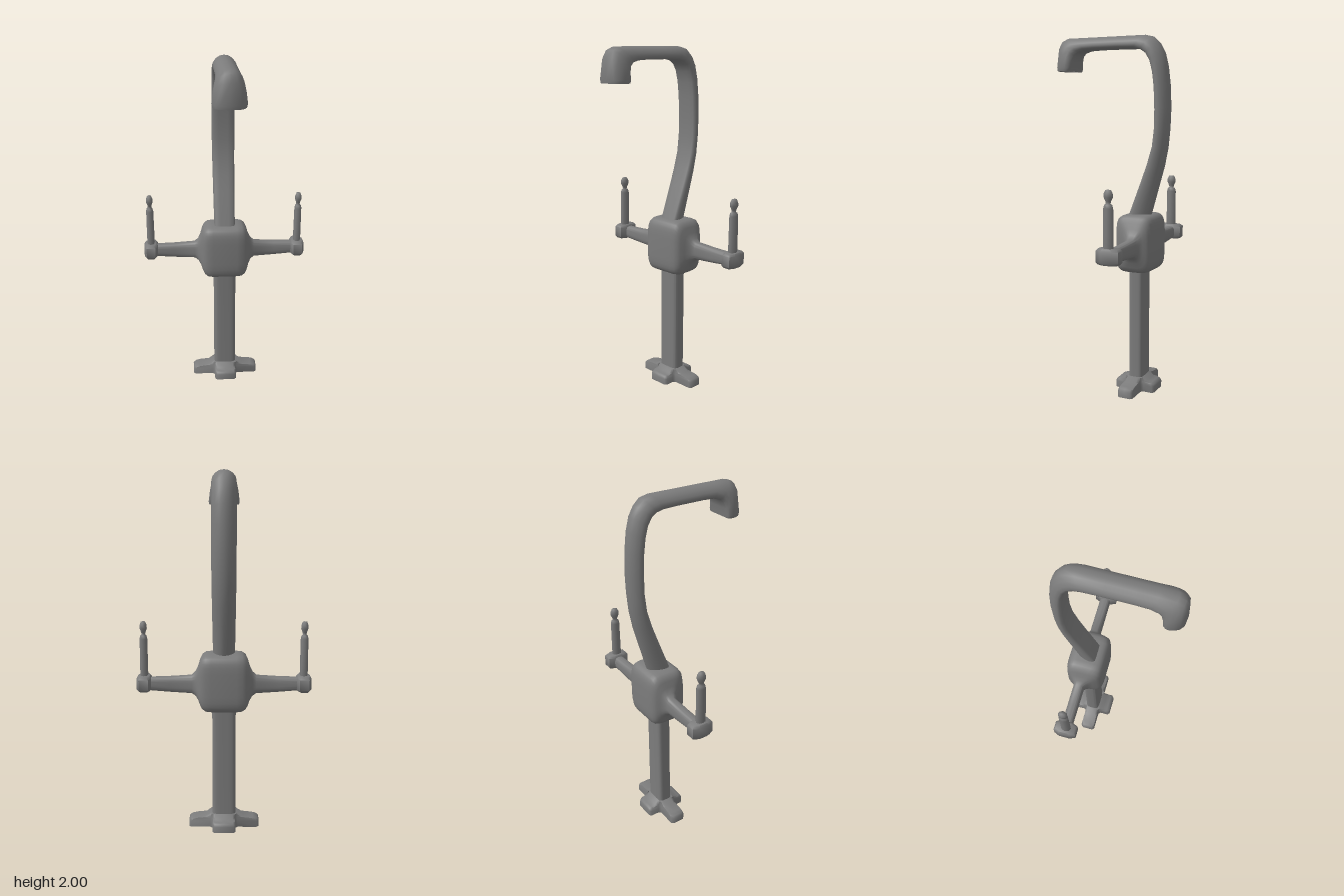
import * as THREE from 'three';
import { mergeVertices, toCreasedNormals } from 'three/addons/utils/BufferGeometryUtils.js';

const metal = new THREE.MeshStandardMaterial({ color: 0x7c7c7c });
const openMetal = new THREE.MeshStandardMaterial({ color: 0x7c7c7c, side: THREE.DoubleSide });

// Skins a list of equal-length rings of [x, y, z]; the winding is fixed by signed volume.
function loft(rings, { capStart = true, crease = 0.9 } = {}) {
  const n = rings[0].length;
  const points = rings.flat();
  const tris = [];
  for (let r = 0; r < rings.length - 1; r++) {
    for (let i = 0; i < n; i++) {
      const a = r * n + i, b = r * n + (i + 1) % n;
      tris.push([a, b, b + n], [a, b + n, a + n]);
    }
  }
  const cap = (r, flip) => {
    const c = points.length;
    points.push([0, 1, 2].map(k => rings[r].reduce((s, p) => s + p[k], 0) / n));
    for (let i = 0; i < n; i++) {
      const a = r * n + i, b = r * n + (i + 1) % n;
      tris.push(flip ? [c, b, a] : [c, a, b]);
    }
  };
  if (capStart) cap(0, true);
  cap(rings.length - 1, false);
  const v = points.map(p => new THREE.Vector3(...p));
  const volume = tris.reduce((s, [a, b, c]) => s + v[a].dot(v[b].clone().cross(v[c])), 0);
  if (volume < 0) tris.forEach(t => t.reverse());
  let geo = new THREE.BufferGeometry().setFromPoints(v);
  geo.setIndex(tris.flat());
  geo = mergeVertices(geo, 1e-5);
  return toCreasedNormals(geo, crease);
}

function add(parent, name, geometry, material = metal) {
  const mesh = new THREE.Mesh(geometry, material);
  mesh.name = name;
  parent.add(mesh);
  return mesh;
}

// D-shaped section: flat on the inner side, domed on the outer side; square flattens the dome.
const half = [[0.4, 0], [0.8, 0.01], [0.95, 0.1], [1, 0.27], [0.92, 0.5], [0.7, 0.76], [0.37, 0.94]];
const dShape = [[0, 0], ...half, [0, 1], ...half.map(([x, s]) => [-x, s]).reverse()];
const dRing = ([zi, yi, zo, yo, w, square = 0]) => dShape.map(([x, s]) =>
  [Math.sign(x) * Math.abs(x) ** (1 - square) * w, yi + (yo - yi) * s, zi + (zo - zi) * s]);

// Rounded-rectangle outline with half sizes a and b.
function softRect(a, b, power) {
  const soft = c => Math.sign(c) * Math.abs(c) ** (2 / power);
  return Array.from({ length: 32 }, (_, i) => {
    const t = (i + 0.5) / 32 * Math.PI * 2;
    return [a * soft(Math.cos(t)), b * soft(Math.sin(t))];
  });
}
const boxRing = ([x, yc, hy, zc, hz, power]) =>
  softRect(hy, hz, power).map(([y, z]) => [x, yc + y, zc + z]);

// Cross-shaped outline for the foot at height y, reaching ex and ez.
function crossRing([y, ex, ez, wx, wz]) {
  const c = 0.012;
  const quarter = [[ex, 0], [ex, wz - c], [ex - c, wz], [wx + c, wz], [wx, wz + c], [wx, ez - c], [wx - c, ez]];
  const mirrored = quarter.slice(1).reverse().map(([x, z]) => [-x, z]);
  const top = [...quarter, [0, ez], ...mirrored, [-ex, 0]];
  const bottom = top.slice(1, -1).reverse().map(([x, z]) => [x, -z]);
  return [...top, ...bottom].map(([x, z]) => [x, y, z - 0.16]);
}

// Octagonal outline of a handle block at height y.
function octagonRing([y, a, b]) {
  const p = a - 0.014, q = b - 0.032;
  return [[a, -q], [a, q], [p, b], [-p, b], [-a, q], [-a, -q], [-p, -b], [p, -b]].map(([x, z]) => [x, y, z]);
}

export function createModel() {
  const model = new THREE.Group();
  model.name = 'tap';

  // Cross-shaped foot, open underneath
  add(model, 'foot', loft([
    [0, 0.2, 0.12, 0.066, 0.045],
    [0.035, 0.2, 0.12, 0.066, 0.045],
    [0.048, 0.19, 0.114, 0.064, 0.043],
    [0.054, 0.165, 0.1, 0.063, 0.042],
    [0.06, 0.11, 0.072, 0.062, 0.041],
    [0.08, 0.077, 0.054, 0.061, 0.04],
  ].map(crossRing), { capStart: false, crease: 1.1 }), openMetal);

  // Lower column
  const columnRing = y => softRect(0.066, 0.043, 4.5).map(([x, z]) => [x, y, z - 0.162]);
  add(model, 'column', loft([0.03, 0.74].map(columnRing)));

  // Valve body flowing into both arms: x, centre y, half height, centre z, half depth, squareness
  const side = [
    [0.07, 0.86, 0.162, -0.168, 0.109, 5],
    [0.1, 0.86, 0.159, -0.168, 0.105, 5],
    [0.12, 0.86, 0.147, -0.169, 0.097, 4.5],
    [0.132, 0.859, 0.125, -0.171, 0.084, 4],
    [0.142, 0.856, 0.095, -0.176, 0.065, 3.5],
    [0.157, 0.852, 0.068, -0.181, 0.043, 3],
    [0.178, 0.85, 0.051, -0.185, 0.031, 3],
    [0.3, 0.85, 0.043, -0.185, 0.031, 3],
    [0.42, 0.853, 0.036, -0.185, 0.031, 3],
  ];
  const mirrorSide = side.map(([x, ...rest]) => [-x, ...rest]).reverse();
  add(model, 'valveBodyAndArms', loft([...mirrorSide, ...side].map(boxRing)));

  // Swan-neck spout: inner z, inner y, outer z, outer y, half width, squareness
  const spout = [
    [-0.1, 0.97, -0.215, 0.97, 0.06],
    [-0.116, 1.02, -0.233, 1.02, 0.061],
    [-0.185, 1.2, -0.279, 1.19, 0.063],
    [-0.222, 1.3, -0.306, 1.29, 0.064],
    [-0.252, 1.4, -0.325, 1.39, 0.065],
    [-0.264, 1.5, -0.335, 1.5, 0.066],
    [-0.265, 1.6, -0.339, 1.61, 0.066],
    [-0.26, 1.72, -0.334, 1.73, 0.066],
    [-0.25, 1.8, -0.322, 1.83, 0.066],
    [-0.234, 1.86, -0.303, 1.905, 0.066],
    [-0.21, 1.9, -0.275, 1.955, 0.066],
    [-0.18, 1.92, -0.24, 1.988, 0.066],
    [-0.14, 1.929, -0.19, 2, 0.066],
    [-0.05, 1.931, -0.05, 2, 0.065],
    [0.1, 1.931, 0.1, 2, 0.065],
    [0.165, 1.928, 0.2, 2, 0.066],
    [0.203, 1.917, 0.285, 2, 0.071],
    [0.222, 1.9, 0.32, 1.985, 0.077],
    [0.234, 1.867, 0.337, 1.945, 0.084, 0.2],
    [0.24, 1.83, 0.342, 1.835, 0.091, 0.45],
    [0.243, 1.815, 0.339, 1.815, 0.087, 0.45],
    // recessed outlet
    [0.257, 1.815, 0.325, 1.815, 0.066, 0.45],
    [0.259, 1.84, 0.323, 1.84, 0.064, 0.45],
  ];
  add(model, 'spout', loft(spout.map(dRing)));

  // Handles at the arm ends
  const block = [[0.814, 0.032, 0.054], [0.826, 0.04, 0.064], [0.887, 0.04, 0.064], [0.899, 0.032, 0.054]];
  const stick = [[0.02, 0.88], [0.022, 0.91], [0.022, 0.96], [0.021, 1.105], [0.017, 1.122], [0.01, 1.128],
    [0.012, 1.14], [0.02, 1.162], [0.019, 1.18], [0.012, 1.198], [0, 1.2]].map(p => new THREE.Vector2(...p));
  for (const [name, s] of [['left', 1], ['right', -1]]) {
    const handle = new THREE.Group();
    handle.name = name + 'Handle';
    handle.position.set(s * 0.44, 0, -0.184);
    model.add(handle);
    add(handle, 'handleBlock', loft(block.map(octagonRing)));
    const lever = add(handle, 'lever', new THREE.LatheGeometry(stick, 8));
    lever.scale.z = 1.35;
    lever.position.z = 0.004;
  }
  return model;
}
